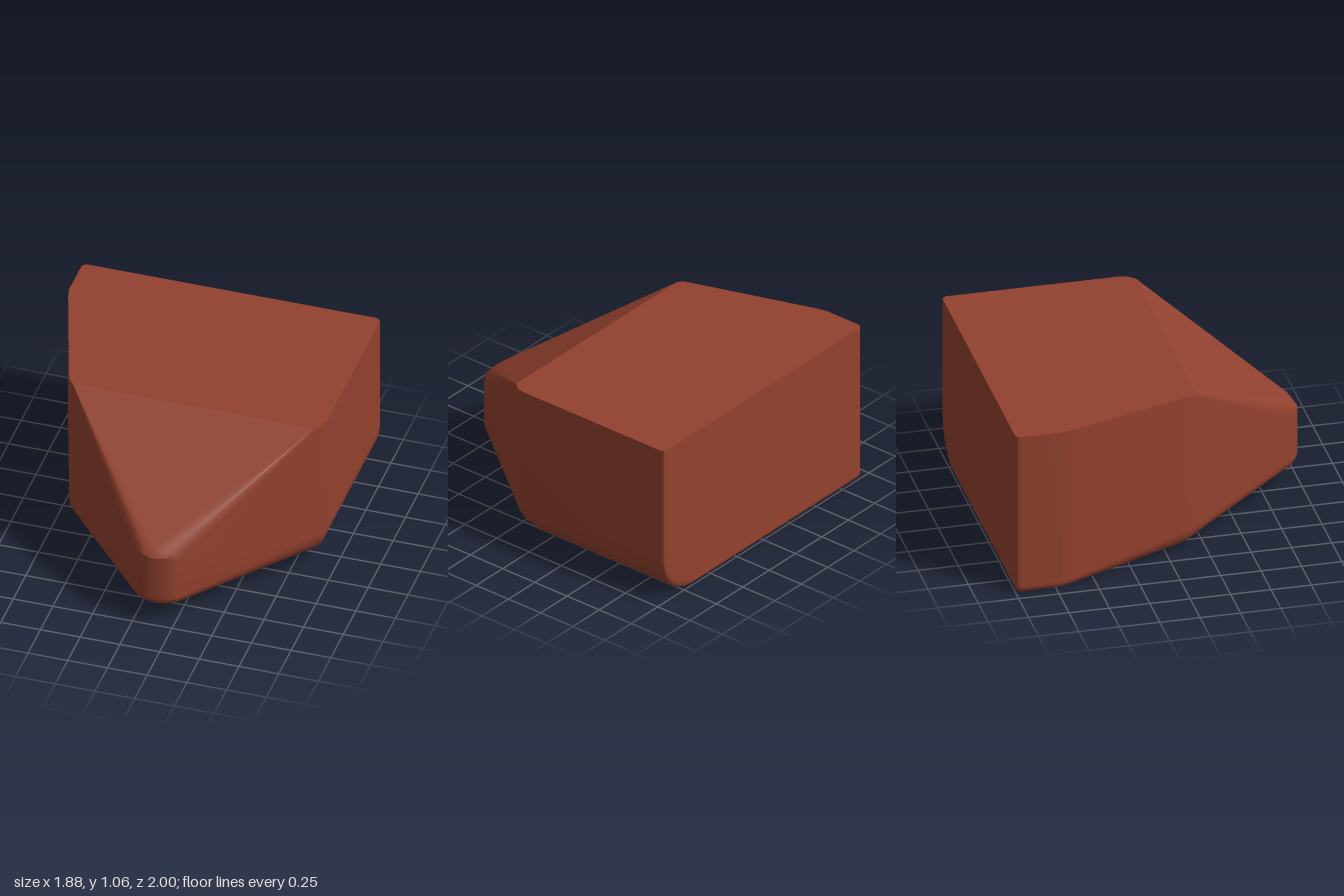
import * as THREE from 'three';
import { ConvexGeometry } from 'three/addons/geometries/ConvexGeometry.js';

const TOP = 1.06;
const STEPS = 6;

// Outline corners: [x, z, top y, wall foot y, then the underside point x, y, z]
const OUTLINE = [
  // back, +x corner
  [0.91, -1.0, TOP, 0.28, 0.66, 0.03, -1.0],
  [0.93, -0.99, TOP, 0.28, 0.66, 0.01, -0.99],
  [0.94, -0.97, TOP, 0.28, 0.66, 0, -0.97],
  // +x shoulder
  [0.94, 0.1, TOP, 0.28, 0.66, 0, -0.1],
  [0.93, 0.145, TOP, 0.275, 0.64, 0, -0.1],
  [0.89, 0.19, TOP, 0.27, 0.62, 0, -0.1],
  // nose
  [0.27, 0.95, 0.47, 0.2, 0.19, 0.1, 0.8],
  [0.21, 0.985, 0.5, 0.2, 0.17, 0.1, 0.82],
  [0.13, 1.0, 0.49, 0.2, 0.13, 0.1, 0.83],
  [0.06, 0.985, 0.5, 0.2, 0.1, 0.1, 0.82],
  [0.0, 0.95, 0.47, 0.2, 0.07, 0.1, 0.8],
  // -x shoulder
  [-0.63, 0.185, TOP, 0.165, -0.5, 0.015, 0.05],
  [-0.66, 0.155, TOP, 0.16, -0.52, 0.012, 0.03],
  [-0.677, 0.11, TOP, 0.155, -0.54, 0.01, 0.0],
  // -x side bend
  [-0.925, -0.66, TOP, 0.06, -0.88, 0, -0.66],
  [-0.94, -0.72, TOP, 0.05, -0.9, 0, -0.72],
  // back, -x corner
  [-0.94, -0.97, TOP, 0.05, -0.91, 0, -0.97],
  [-0.93, -0.99, TOP, 0.05, -0.9, 0.01, -0.99],
  [-0.91, -1.0, TOP, 0.05, -0.89, 0.03, -1.0],
];

// Area-weighted smooth normals that stay sharp across edges above the angle
function smoothWithCreases(geometry, angle) {
  const pos = geometry.attributes.position;
  const faces = [];
  const around = new Map();
  const key = (i) => [pos.getX(i), pos.getY(i), pos.getZ(i)].map((v) => Math.round(v * 1e4)).join();
  for (let i = 0; i < pos.count; i += 3) {
    const [a, b, c] = [0, 1, 2].map((k) => new THREE.Vector3().fromBufferAttribute(pos, i + k));
    const area = b.sub(a).cross(c.sub(a));
    const face = { area, unit: area.clone().normalize() };
    faces.push(face);
    for (let k = 0; k < 3; k++) {
      const id = key(i + k);
      if (!around.has(id)) around.set(id, []);
      around.get(id).push(face);
    }
  }
  const limit = Math.cos(angle);
  const normals = [];
  for (let i = 0; i < pos.count; i++) {
    const own = faces[Math.floor(i / 3)];
    const n = new THREE.Vector3();
    for (const f of around.get(key(i))) if (f.unit.dot(own.unit) > limit) n.add(f.area);
    normals.push(...n.normalize().toArray());
  }
  geometry.setAttribute('normal', new THREE.Float32BufferAttribute(normals, 3));
  return geometry;
}

export function createModel() {
  const points = [];
  for (const [x, z, top, foot, bx, by, bz] of OUTLINE) {
    points.push(new THREE.Vector3(x, top, z));
    // quarter-round from the foot of the wall to the underside
    for (let i = 0; i <= STEPS; i++) {
      const t = (i / STEPS) * Math.PI / 2;
      const inward = 1 - Math.cos(t);
      points.push(new THREE.Vector3(
        x + (bx - x) * inward,
        foot + (by - foot) * Math.sin(t),
        z + (bz - z) * inward
      ));
    }
  }
  // rounded upper rim of the nose
  for (const [x, y, z] of [[0.03, 0.52, 0.955], [0.06, 0.542, 0.955], [0.13, 0.542, 0.96], [0.21, 0.542, 0.955], [0.24, 0.52, 0.955]]) {
    points.push(new THREE.Vector3(x, y, z));
  }

  const body = new THREE.Mesh(
    smoothWithCreases(new ConvexGeometry(points), 0.5),
    new THREE.MeshStandardMaterial({ color: 0x93412e })
  );
  body.name = 'wedgeBody';

  const group = new THREE.Group();
  group.name = 'wedgeBlock';
  group.add(body);
  return group;
}
